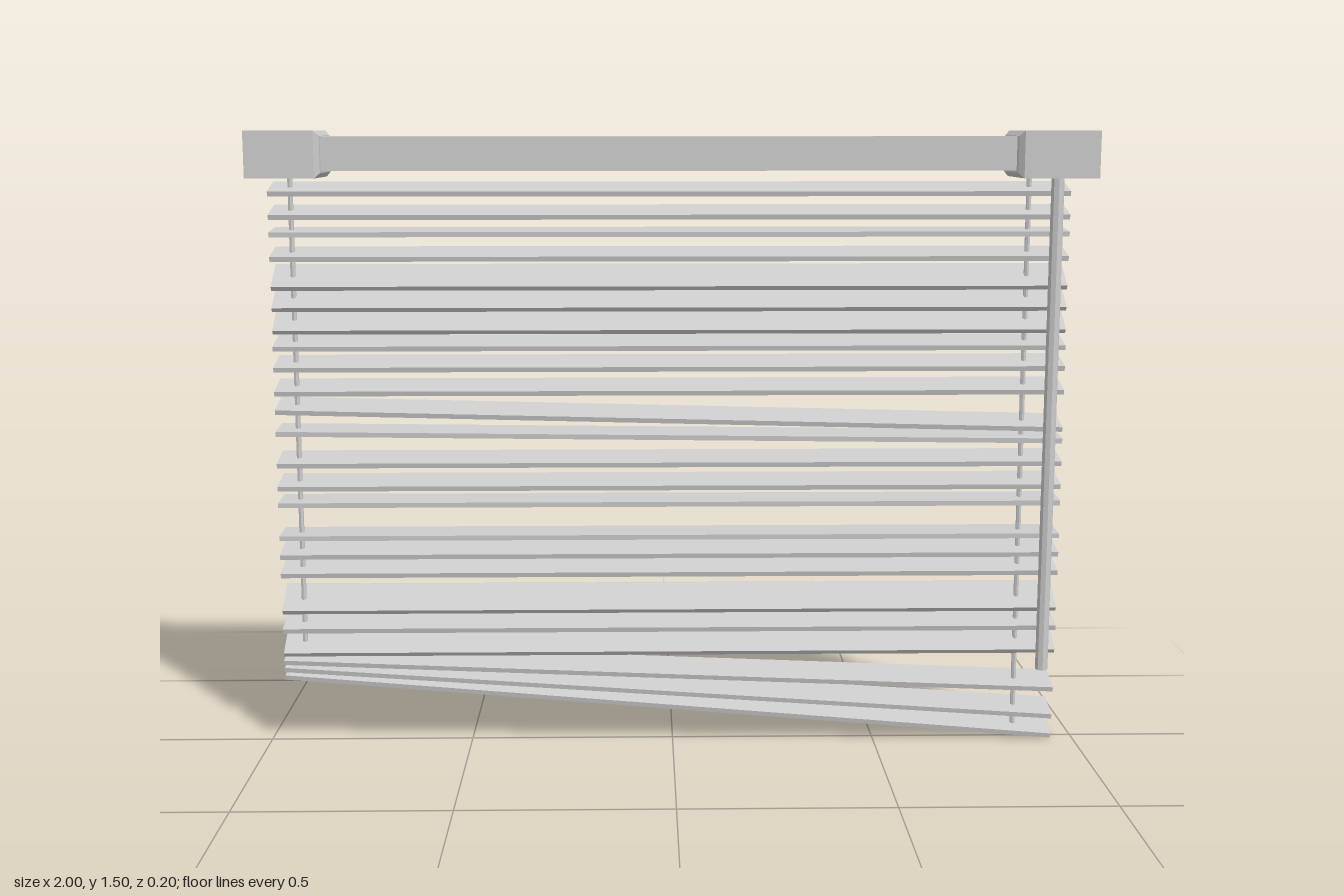
import * as THREE from 'three';

const material = new THREE.MeshStandardMaterial({ color: 0xcccccc, flatShading: true });

function addMesh(parent, name, geometry, x, y, z) {
  const mesh = new THREE.Mesh(geometry, material);
  mesh.name = name;
  mesh.position.set(x, y, z);
  parent.add(mesh);
  return mesh;
}

// Box whose face on the side "dir" is inset to give a small chamfer
function bracketGeometry(width, depth, dir) {
  const h = 0.11, c = 0.012;
  const geometry = new THREE.BoxGeometry(width, h, depth, 2, 1, 1);
  const p = geometry.attributes.position;
  for (let i = 0; i < p.count; i++) {
    const x = p.getX(i);
    if (Math.abs(x) < 1e-4) p.setX(i, dir * (width / 2 - c));
    else if (x * dir > 0) {
      p.setY(i, p.getY(i) - Math.sign(p.getY(i)) * c);
      p.setZ(i, p.getZ(i) - Math.sign(p.getZ(i)) * c);
    }
  }
  geometry.computeVertexNormals();
  return geometry;
}

// Thin slat profile with an eased rear edge, extruded along x
function slatGeometry() {
  const w = 0.0465, t = 0.006;
  const profile = new THREE.Shape([
    [-w, -t], [w - 0.005, -t], [w, -t / 3], [w, t / 3], [w - 0.005, t], [-w, t],
  ].map(([x, y]) => new THREE.Vector2(x, y)));
  const geometry = new THREE.ExtrudeGeometry(profile, { depth: 1.91, bevelEnabled: false });
  return geometry.translate(0, 0, -0.955).rotateY(Math.PI / 2);
}

// Each slat: height at its -x end, height at its +x end, tilt in degrees
const slats = [
  [1.373, 1.373, 14], [1.318, 1.318, 14], [1.27, 1.27, 5], [1.218, 1.218, 13],
  [1.163, 1.163, 34], [1.112, 1.112, 34], [1.059, 1.059, 36], [1.003, 1.003, 13],
  [0.953, 0.953, 14], [0.895, 0.895, 14], [0.85, 0.803, 14], [0.79, 0.768, 5],
  [0.717, 0.717, 12], [0.66, 0.66, 12], [0.613, 0.613, 4], [0.53, 0.53, 3],
  [0.49, 0.49, 12], [0.445, 0.445, 14], [0.366, 0.366, 35], [0.305, 0.305, 14],
  [0.258, 0.258, 34], [0.225, 0.146, 14], [0.206, 0.075, 13], [0.187, 0.025, 13],
];

export function createModel() {
  const model = new THREE.Group();
  model.name = 'windowBlind';

  // Head rail and its two end brackets
  addMesh(model, 'headRail', new THREE.BoxGeometry(1.68, 0.08, 0.135), -0.01, 1.457, -0.003);
  addMesh(model, 'rightBracket', bracketGeometry(0.175, 0.18, 1), -0.9125, 1.455, -0.003);
  addMesh(model, 'leftBracket', bracketGeometry(0.19, 0.197, -1), 0.905, 1.455, 0.001);

  // Slats, some twisted open and some sagging to one side
  const slatGroup = new THREE.Group();
  slatGroup.name = 'slats';
  model.add(slatGroup);
  const slat = slatGeometry();
  slats.forEach(([y0, y1, tilt], i) => {
    const mesh = addMesh(slatGroup, `slat${i + 1}`, slat, -0.005, (y0 + y1) / 2, -0.02);
    mesh.rotation.order = 'ZXY';
    mesh.rotation.z = Math.atan2(y1 - y0, 1.91);
    mesh.rotation.x = THREE.MathUtils.degToRad(tilt);
  });

  // Ladder cords
  for (const [name, x, bottom] of [['rightCord', -0.912, 0.2], ['leftCord', 0.857, 0.03]]) {
    const length = 1.42 - bottom;
    addMesh(model, name, new THREE.CylinderGeometry(0.0065, 0.0065, length, 6), x, bottom + length / 2, -0.014);
  }

  // Tilt wand
  addMesh(model, 'tiltWand', new THREE.CylinderGeometry(0.0155, 0.0155, 1.21, 8), 0.909, 0.805, 0.064);

  return model;
}
